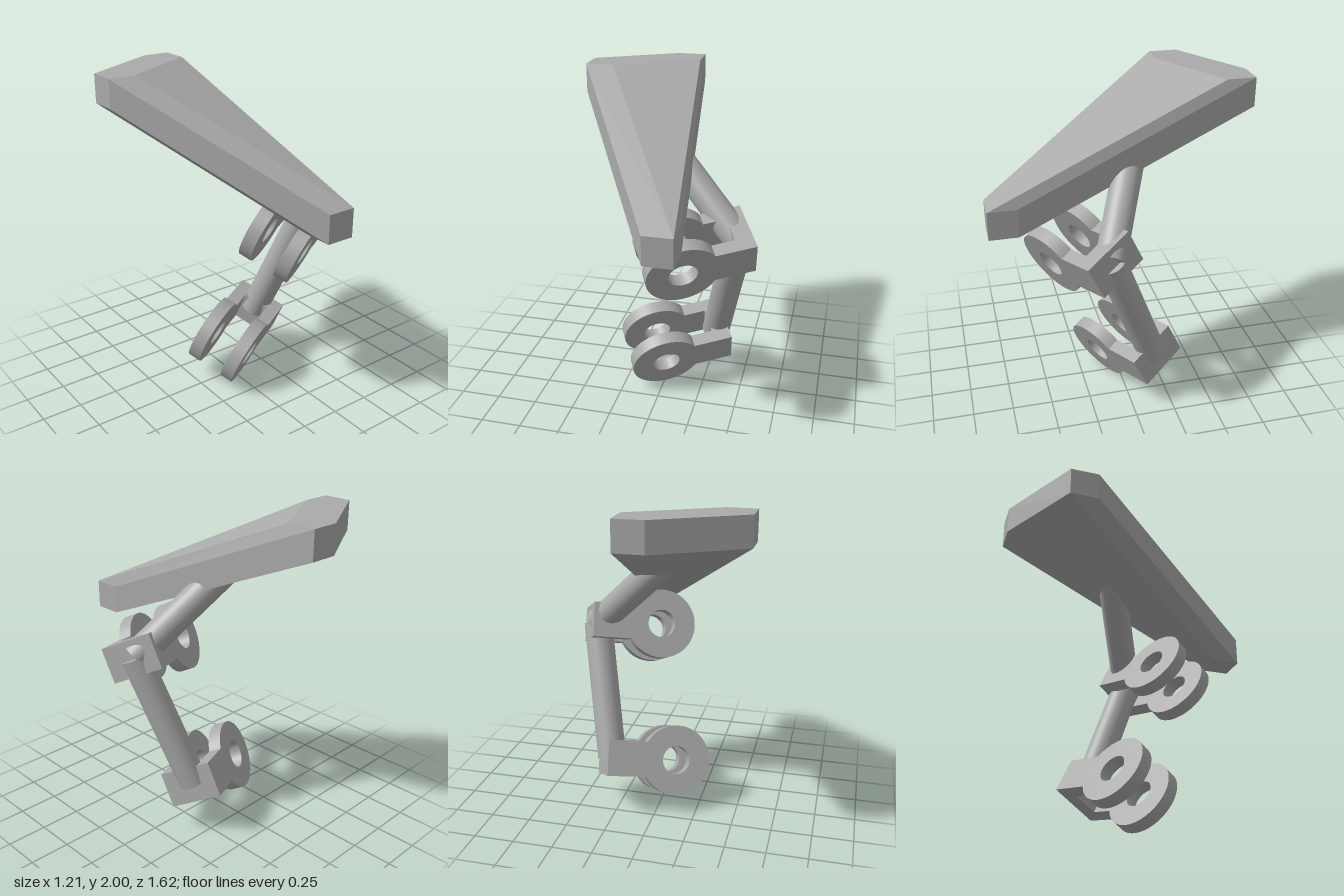
import * as THREE from 'three';
import { toCreasedNormals } from 'three/addons/utils/BufferGeometryUtils.js';
import { ConvexGeometry } from 'three/addons/geometries/ConvexGeometry.js';

const V = (x, y, z) => new THREE.Vector3(x, y, z);

const R = 0.22;            // lug radius
const W = 1.5 * R;         // clevis width
const T = W / 4;           // lug plate thickness
const ROD = 0.09;          // rod radius

// Tilted frame shared by both clevises: along the arm, up, along the pin
const PIN = V(0.453, -0.407, 0.795).normalize();
const ARM = V(0.067, 0.906, 0.425).cross(PIN).normalize();
const UP = PIN.clone().cross(ARM);

export function createModel() {
  const model = new THREE.Group();
  const grey = new THREE.MeshStandardMaterial({ color: 0xaaaaaa });
  grey.name = 'plain grey';

  const add = (parent, name, geometry) => {
    const mesh = new THREE.Mesh(geometry, grey);
    mesh.name = name;
    parent.add(mesh);
    return mesh;
  };

  // Round lug with a pin hole and a straight arm
  const lug = new THREE.Shape();
  lug.absarc(0, 0, R, Math.PI / 6, Math.PI * 11 / 6, false);
  lug.lineTo(2 * R, -R / 2);
  lug.lineTo(2 * R, R / 2);
  lug.closePath();
  const hole = new THREE.Path();
  hole.absarc(0, 0, 0.4 * R, 0, Math.PI * 2, true);
  lug.holes.push(hole);
  const lugGeometry = toCreasedNormals(
    new THREE.ExtrudeGeometry(lug, { depth: T, bevelEnabled: false, curveSegments: 48 }), 0.5);

  // Clevis: two lugs joined by a block at the arm end
  const clevis = (name, centre) => {
    const group = new THREE.Group();
    group.name = name;
    add(group, 'frontLug', lugGeometry).position.z = W / 2 - T;
    add(group, 'backLug', lugGeometry).position.z = -W / 2;
    add(group, 'baseBlock', new THREE.BoxGeometry(R / 2, R, W - 2 * T)).position.x = 1.75 * R;
    group.quaternion.setFromRotationMatrix(new THREE.Matrix4().makeBasis(ARM, UP, PIN));
    group.position.copy(centre);
    model.add(group);
    return centre.clone().addScaledVector(ARM, 1.75 * R); // block centre
  };
  const lowerBlock = clevis('lowerClevis', V(-0.04, 0.268, 0.019));
  const upperBlock = clevis('upperClevis', V(0.132, 1.073, 0.329));

  // Foot plate: hull of three cubes at the corners of a sloping triangle
  const corners = [V(0.145, 1.306, 0.724), V(-0.02, 1.913, -0.722), V(-0.52, 1.913, -0.44)];
  const half = 0.0875;
  const points = [];
  for (const c of corners)
    for (const x of [-half, half])
      for (const y of [-half, half])
        for (const z of [-half, half]) points.push(V(c.x + x, c.y + y, c.z + z));
  add(model, 'slopingPlate', new ConvexGeometry(points));

  // Round rods between block centres and the middle of the plate
  const rod = (name, a, b) => {
    const axis = b.clone().sub(a);
    const mesh = add(model, name, new THREE.CylinderGeometry(ROD, ROD, axis.length(), 48));
    mesh.position.copy(a).add(b).multiplyScalar(0.5);
    mesh.quaternion.setFromUnitVectors(V(0, 1, 0), axis.normalize());
  };
  const plateCentre = corners[0].clone().add(corners[1]).add(corners[2]).divideScalar(3);
  rod('lowerRod', lowerBlock, upperBlock);
  rod('upperRod', upperBlock, plateCentre);

  return model;
}
